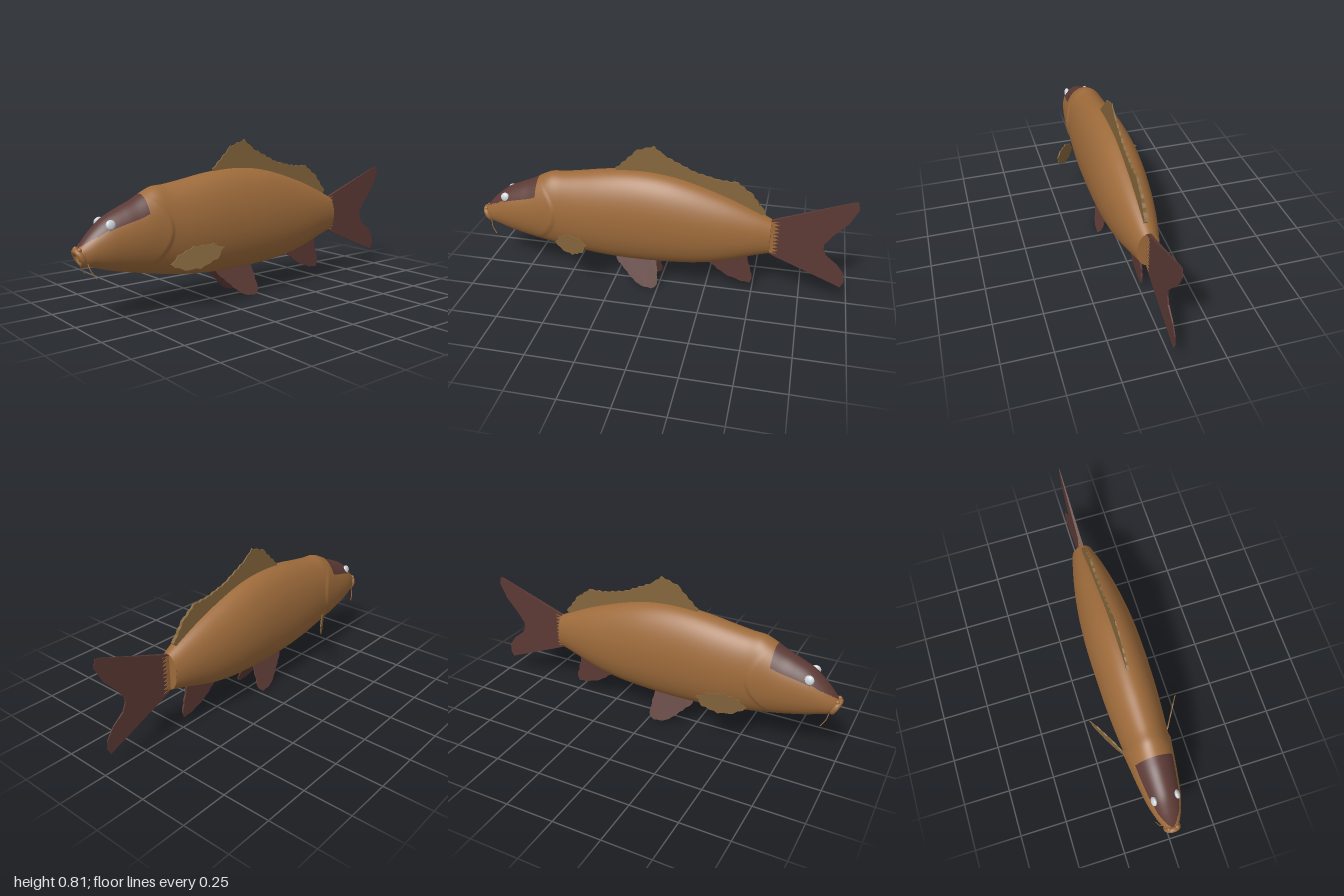
import * as THREE from 'three';

const mat = (name, color, side = THREE.FrontSide) => {
  const m = new THREE.MeshStandardMaterial({ color, side });
  m.name = name;
  return m;
};

// Body stations: z, top y, bottom y, half width
const STATIONS = [
  [0.972, 0.372, 0.312, 0.03], [0.94, 0.41, 0.282, 0.05], [0.9, 0.45, 0.27, 0.067],
  [0.84, 0.497, 0.25, 0.085], [0.76, 0.535, 0.23, 0.099], [0.7, 0.56, 0.217, 0.107],
  [0.64, 0.592, 0.204, 0.113], [0.585, 0.615, 0.193, 0.117], [0.52, 0.62, 0.182, 0.122],
  [0.42, 0.635, 0.167, 0.13], [0.3, 0.655, 0.155, 0.137], [0.18, 0.668, 0.15, 0.14],
  [0.06, 0.669, 0.151, 0.141], [-0.06, 0.656, 0.157, 0.139], [-0.18, 0.627, 0.167, 0.131],
  [-0.3, 0.588, 0.188, 0.117], [-0.4, 0.55, 0.217, 0.1], [-0.5, 0.505, 0.25, 0.078],
  [-0.58, 0.465, 0.272, 0.056],
];

// Head patch half width by height
const PATCH = [[0.365, 0], [0.385, 0.022], [0.42, 0.055], [0.46, 0.078], [0.49, 0.092],
  [0.535, 0.092], [0.575, 0.06], [0.592, 0.035], [0.6, 0]];

function inPatch(x, y, z) {
  if (z < 0.655) return false;
  for (let i = 1; i < PATCH.length; i++) {
    const [y0, w0] = PATCH[i - 1], [y1, w1] = PATCH[i];
    if (y >= y0 && y < y1) return Math.abs(x) < w0 + (w1 - w0) * (y - y0) / (y1 - y0);
  }
  return false;
}

// Raised gill cover that ends in a curved step
function gillSwell(y, z) {
  const edge = 0.55 + 0.1 * ((y - 0.42) / 0.17) ** 2;
  const d = z - edge;
  const fade = Math.max(0, 1 - ((y - 0.38) / 0.2) ** 2);
  return 0.07 * fade * THREE.MathUtils.smoothstep(d, -0.015, 0.012) * Math.exp(-Math.max(d, 0) / 0.08);
}

function bodyGeometry(rings = 200, sides = 96) {
  const upper = new THREE.CatmullRomCurve3(STATIONS.map(s => new THREE.Vector3(s[3], s[1], s[0])), false, 'catmullrom');
  const lower = new THREE.CatmullRomCurve3(STATIONS.map(s => new THREE.Vector3(0, s[2], s[0])), false, 'catmullrom');
  const pos = [], skin = [], patch = [];
  for (let i = 0; i <= rings; i++) {
    const u = upper.getPoint(i / rings), l = lower.getPoint(i / rings);
    for (let j = 0; j < sides; j++) {
      const a = j / sides * Math.PI * 2;
      const y = (u.y + l.y) / 2 + (u.y - l.y) / 2 * Math.sin(a);
      pos.push(u.x * Math.cos(a) * (1 + gillSwell(y, u.z)), y, u.z);
    }
  }
  for (let i = 0; i < rings; i++) {
    for (let j = 0; j < sides; j++) {
      const a = i * sides + j, b = i * sides + (j + 1) % sides, c = a + sides, d = b + sides;
      const mid = k => (pos[a * 3 + k] + pos[b * 3 + k] + pos[c * 3 + k] + pos[d * 3 + k]) / 4;
      (inPatch(mid(0), mid(1), mid(2)) ? patch : skin).push(a, c, b, c, d, b);
    }
  }
  const g = new THREE.BufferGeometry();
  g.setAttribute('position', new THREE.Float32BufferAttribute(pos, 3));
  g.setIndex([...skin, ...patch]);
  g.addGroup(0, skin.length, 0);
  g.addGroup(skin.length, patch.length, 1);
  g.computeVertexNormals();
  return g;
}

// Thin blade from a (z, y) outline with a ragged edge; bend moves each vertex by a rule
function finGeometry(outline, thickness, jag, bend) {
  const pts = [];
  outline.forEach(([z, y], i) => {
    const [z2, y2] = outline[(i + 1) % outline.length];
    const dz = z2 - z, dy = y2 - y, len = Math.hypot(dz, dy);
    const n = Math.max(1, Math.round(len / 0.022));
    for (let k = 0; k < n; k++) {
      const o = k % 2 ? jag : 0;
      pts.push(new THREE.Vector2(-(z + dz * k / n - dy / len * o), y + dy * k / n + dz / len * o));
    }
  });
  const g = new THREE.ExtrudeGeometry(new THREE.Shape(pts), { depth: thickness, bevelEnabled: false });
  g.translate(0, 0, -thickness / 2);
  g.rotateY(Math.PI / 2);
  const p = g.attributes.position;
  for (let i = 0; i < p.count; i++) p.setX(i, bend(p.getX(i), p.getY(i), p.getZ(i)));
  g.computeVertexNormals();
  return g;
}

export function createModel() {
  const fish = new THREE.Group();
  fish.name = 'fish';
  const skin = mat('bronzeSkin', 0x9e6b3b);
  const dark = mat('maroon', 0x5c3a35, THREE.DoubleSide);
  const olive = mat('oliveFin', 0x84653b, THREE.DoubleSide);
  const eyeMat = mat('paleEye', 0xcdd3d8);
  const add = (name, geometry, material) => {
    const m = new THREE.Mesh(geometry, material);
    m.name = name;
    fish.add(m);
    return m;
  };

  // Body with head patch, closed at both ends
  add('body', bodyGeometry(), [skin, dark]);
  const first = STATIONS[0], last = STATIONS[STATIONS.length - 1];
  [['mouthInside', first, 0], ['tailStump', last, Math.PI]].forEach(([name, s, turn]) => {
    const cap = add(name, new THREE.CircleGeometry(1, 48), skin);
    cap.scale.set(s[3], (s[1] - s[2]) / 2, 1);
    cap.position.set(0, (s[1] + s[2]) / 2, s[0]);
    cap.rotation.y = turn;
  });

  // Lips
  const lips = add('lips', new THREE.TorusGeometry(0.035, 0.014, 16, 40), skin);
  lips.position.set(0, 0.325, 0.967);
  lips.rotation.x = 0.48;
  lips.scale.x = 0.9;

  // Dorsal fin
  add('dorsalFin', finGeometry([
    [0.235, 0.64], [0.235, 0.675], [0.12, 0.785], [0.03, 0.815], [-0.02, 0.77], [-0.18, 0.692],
    [-0.3, 0.663], [-0.4, 0.655], [-0.48, 0.594], [-0.545, 0.505], [-0.53, 0.475],
    [-0.4, 0.53], [-0.2, 0.6], [0, 0.64],
  ], 0.014, 0.006, (x, y) => x * Math.max(0.25, 1 - (y - 0.62) * 3.5)), olive);

  // Tail fin and the ragged skin fringe at its root
  add('tailFin', finGeometry([
    [-0.56, 0.455], [-0.6, 0.47], [-0.96, 0.605], [-0.99, 0.612], [-1, 0.57], [-0.96, 0.487],
    [-0.89, 0.41], [-0.852, 0.355], [-0.85, 0.33], [-0.868, 0.288], [-0.93, 0.24], [-0.968, 0.187],
    [-0.973, 0.14], [-0.957, 0.107], [-0.6, 0.258], [-0.56, 0.28],
  ], 0.018, 0, (x, y, z) => x * Math.max(0.2, 1 + (z + 0.58) * 2)), dark);
  const fringe = [[-0.56, 0.28], [-0.56, 0.455]];
  for (let i = 0; i <= 18; i++) fringe.push([i % 2 ? -0.592 : -0.622, 0.462 - i * 0.0107]);
  add('tailRoot', finGeometry(fringe, 0.021, 0, x => x), skin);

  // Anal fin
  add('analFin', finGeometry([
    [-0.25, 0.2], [-0.265, 0.178], [-0.35, 0.11], [-0.42, 0.082], [-0.49, 0.068],
    [-0.5, 0.096], [-0.472, 0.21], [-0.46, 0.25],
  ], 0.012, 0.005, (x, y) => x * (0.5 + y * 2)), dark);

  // Paired parts
  for (const s of [1, -1]) {
    const side = s > 0 ? 'left' : 'right';
    add(side + 'PelvicFin', finGeometry([
      [0.24, 0.165], [0.235, 0.145], [0.14, 0.053], [0.096, 0.022], [0.03, 0.01],
      [0.002, 0.035], [0.012, 0.155], [0.02, 0.17],
    ], 0.008, 0.004, (x, y) => x + s * (0.03 + (0.15 - y) * 0.39)), dark);

    add(side + 'PectoralFin', finGeometry([
      [0.555, 0.25], [0.525, 0.295], [0.46, 0.338], [0.38, 0.348], [0.337, 0.33],
      [0.364, 0.273], [0.433, 0.226], [0.5, 0.22], [0.54, 0.235],
    ], 0.008, 0.005, (x, y, z) => x * 0.8 + s * (0.105 + (0.55 - z) * 0.6)), olive);

    const eye = add(side + 'Eye', new THREE.SphereGeometry(1, 24, 16), eyeMat);
    eye.position.set(s * 0.059, 0.465, 0.838);
    eye.scale.set(0.013, 0.024, 0.024);
    eye.rotation.z = s * 0.25;

    const barbel = new THREE.CatmullRomCurve3([
      new THREE.Vector3(s * 0.038, 0.3, 0.945),
      new THREE.Vector3(s * 0.05, 0.27, 0.938),
      new THREE.Vector3(s * 0.06, 0.232, 0.915),
    ]);
    add(side + 'Barbel', new THREE.TubeGeometry(barbel, 12, 0.0025, 6), skin);

    const nostril = add(side + 'Nostril', new THREE.SphereGeometry(0.011, 16, 12), skin);
    nostril.position.set(s * 0.022, 0.362, 0.975);
  }
  return fish;
}
